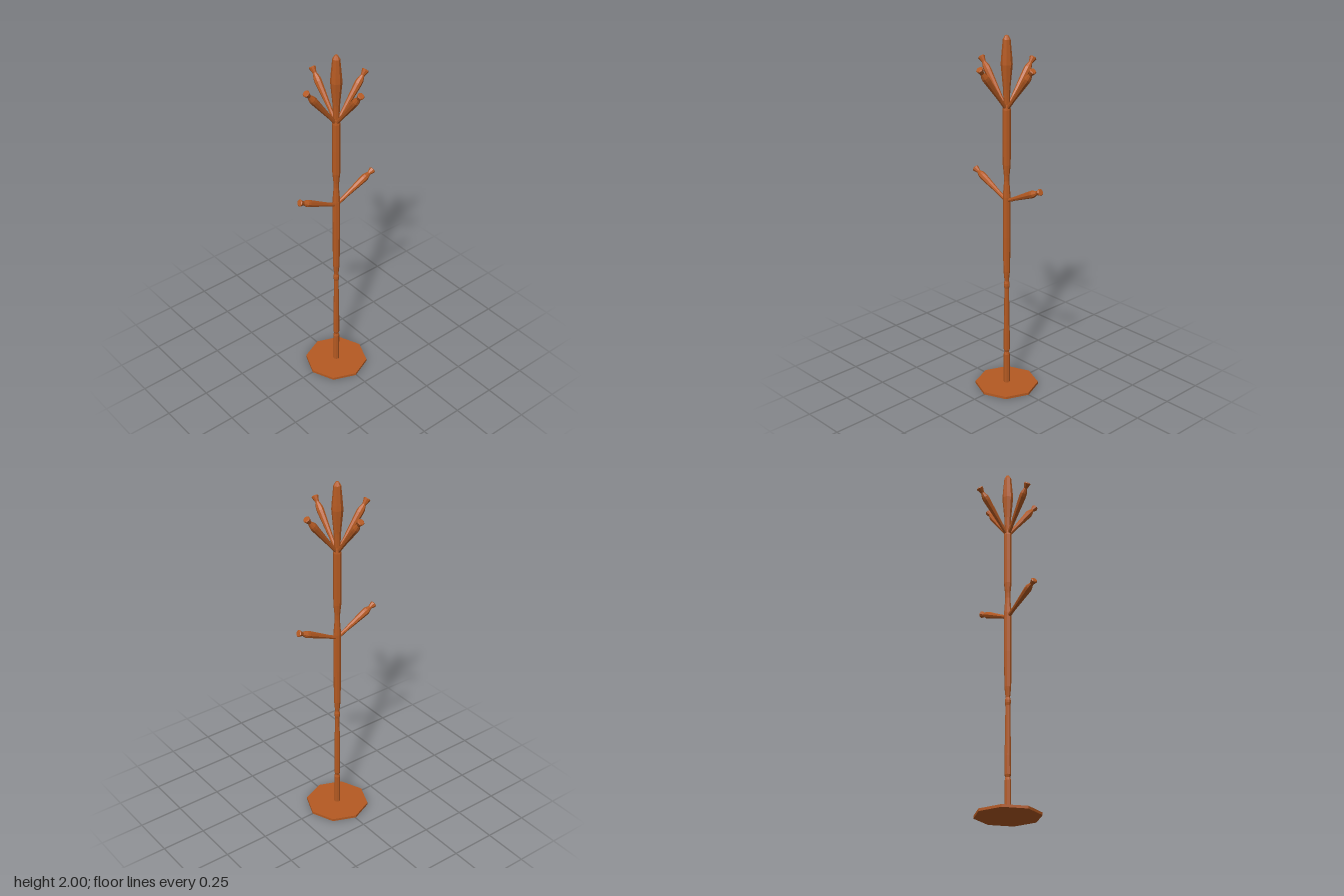
import * as THREE from 'three';

const wood = new THREE.MeshStandardMaterial({ color: 0xb55a22, flatShading: true });
wood.name = 'wood';

// Turned part from [radius, height] pairs
function turned(name, profile, sides = 8) {
  const points = profile.map(([r, y]) => new THREE.Vector2(r, y));
  const mesh = new THREE.Mesh(new THREE.LatheGeometry(points, sides), wood);
  mesh.name = name;
  return mesh;
}

// Peg: slim root, swelling body, pinched neck and flared tip
function peg(name, start, end) {
  const a = new THREE.Vector3(...start);
  const dir = new THREE.Vector3(...end).sub(a);
  const len = dir.length();
  const mesh = turned(name, [
    [0, 0], [0.01, 0], [0.011, 0.25 * len], [0.02, 0.74 * len], [0.019, 0.8 * len],
    [0.01, 0.89 * len], [0.019, 0.985 * len], [0.015, len], [0, len],
  ]);
  mesh.position.copy(a);
  mesh.quaternion.setFromUnitVectors(new THREE.Vector3(0, 1, 0), dir.normalize());
  return mesh;
}

export function createModel() {
  const model = new THREE.Group();
  model.name = 'coatStand';
  const stand = new THREE.Group();
  stand.name = 'stand';
  stand.position.x = -0.004;
  model.add(stand);

  // Thin octagonal foot
  stand.add(turned('base', [[0, 0], [0.176, 0], [0.176, 0.014], [0, 0.014]]));

  // Turned pole with notches and a swelling head
  stand.add(turned('pole', [
    [0.017, 0.01], [0.017, 0.19], [0.013, 0.205], [0.017, 0.22], [0.017, 0.32],
    [0.014, 0.5], [0.013, 0.595], [0.016, 0.61], [0.016, 0.625], [0.012, 0.64],
    [0.018, 0.7], [0.021, 0.9], [0.021, 1.1], [0.021, 1.13], [0.014, 1.22],
    [0.015, 1.25], [0.021, 1.31], [0.022, 1.45], [0.022, 1.61], [0.016, 1.64],
    [0.019, 1.72], [0.031, 1.85], [0.029, 1.88], [0.02, 1.98], [0.008, 2], [0, 2],
  ]));

  // Four upper pegs
  stand.add(peg('upperLeftPeg', [0, 1.61, 0], [0.192, 1.853, 0]));
  stand.add(peg('upperRightPeg', [0, 1.61, 0], [-0.192, 1.858, 0]));
  stand.add(peg('upperFrontPeg', [0, 1.61, 0], [0, 1.858, 0.19]));
  stand.add(peg('upperBackPeg', [0, 1.61, 0], [0, 1.855, -0.192]));

  // Two lower pegs
  stand.add(peg('lowerLeftPeg', [0, 1.107, 0], [0.253, 1.224, 0]));
  stand.add(peg('lowerRightPeg', [0, 1.107, 0], [-0.246, 1.23, 0]));
  return model;
}
